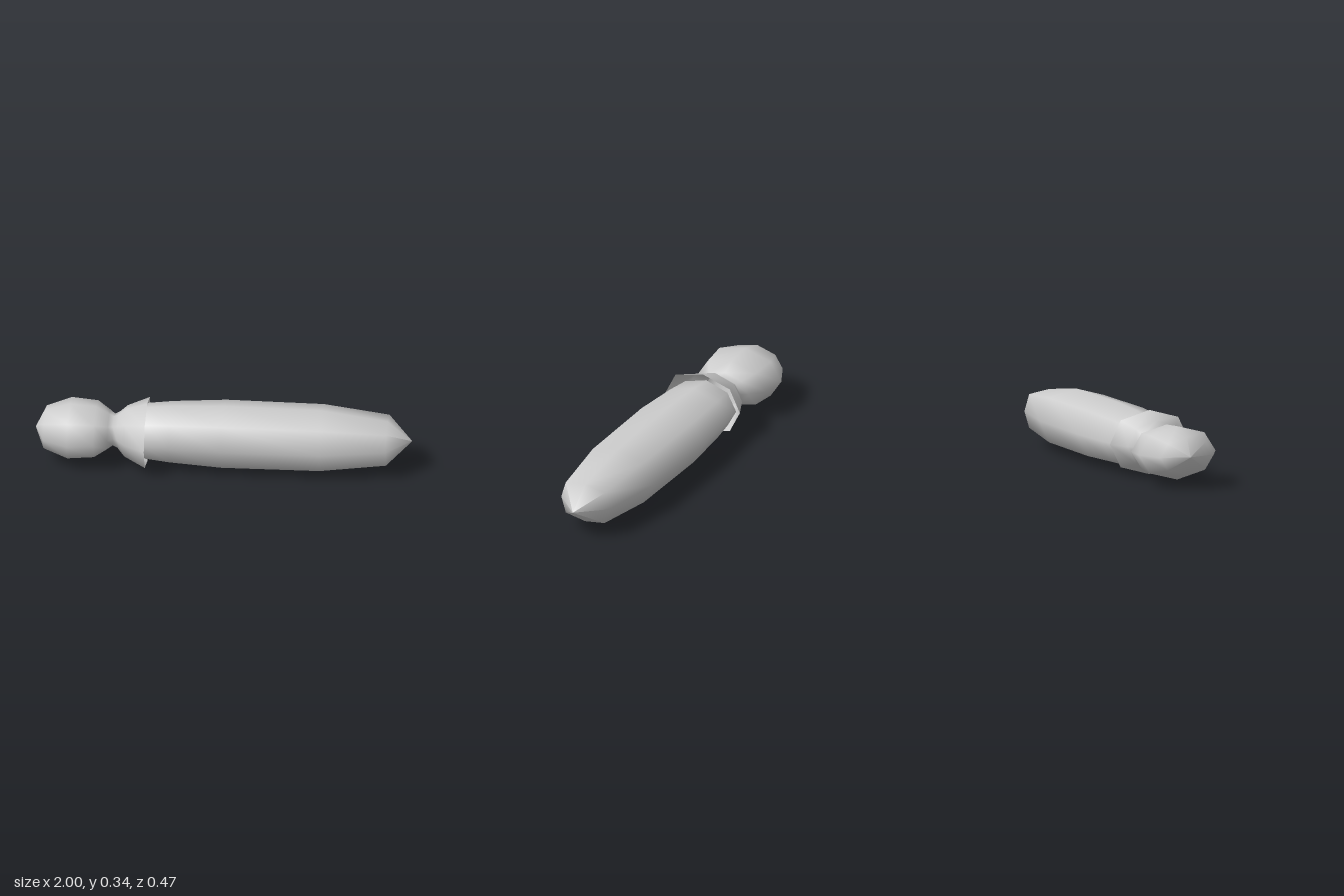
import * as THREE from 'three';

const SIDES = 8;

// Smooth-shaded skin through octagonal rings along x.
// Each ring: [x, radiusY, radiusZ, centreZ, corner bulge]
function skin(name, rings, material) {
  const pos = [], index = [];
  for (const [x, ry, rz, cz = -0.013, bulge = 1] of rings) {
    for (let j = 0; j < SIDES; j++) {
      const a = (j / SIDES) * Math.PI * 2;
      const k = j % 2 ? bulge : 1;
      pos.push(x, 0.172 + Math.sin(a) * ry * k, cz + Math.cos(a) * rz * k);
    }
  }
  for (let i = 0; i < rings.length - 1; i++) {
    for (let j = 0; j < SIDES; j++) {
      const n = (j + 1) % SIDES;
      const a = i * SIDES + j, d = i * SIDES + n;
      const b = a + SIDES, c = d + SIDES;
      index.push(a, b, d, b, c, d);
    }
  }
  const geometry = new THREE.BufferGeometry();
  geometry.setAttribute('position', new THREE.Float32BufferAttribute(pos, 3));
  geometry.setIndex(index);
  geometry.computeVertexNormals();
  const mesh = new THREE.Mesh(geometry, material);
  mesh.name = name;
  return mesh;
}

export function createModel() {
  const group = new THREE.Group();
  group.name = 'segmentedBody';
  const grey = new THREE.MeshStandardMaterial({ color: 0xcccccc, side: THREE.DoubleSide });
  grey.name = 'plain grey';

  // Rounded head narrowing to the neck, then the open flared collar
  group.add(skin('headAndCollar', [
    [-1, 0.001, 0.001],
    [-0.95, 0.1, 0.155],
    [-0.82, 0.143, 0.222],
    [-0.68, 0.133, 0.205],
    [-0.61, 0.092, 0.14],
    [-0.585, 0.078, 0.108],
    [-0.56, 0.09, 0.12],
    [-0.52, 0.13, 0.165, -0.003],
    [-0.406, 0.172, 0.228, 0.007, 1.03],
  ], grey));

  // Long abdomen, its front end tucked inside the collar
  group.add(skin('abdomen', [
    [-0.5, 0.001, 0.001],
    [-0.47, 0.09, 0.12],
    [-0.41, 0.14, 0.183],
    [-0.28, 0.154, 0.201],
    [0, 0.165, 0.218, -0.013, 1.03],
    [0.52, 0.161, 0.212, -0.013, 1.04],
    [0.87, 0.111, 0.146, -0.013, 1.15],
    [1, 0.001, 0.001],
  ], grey));

  return group;
}
